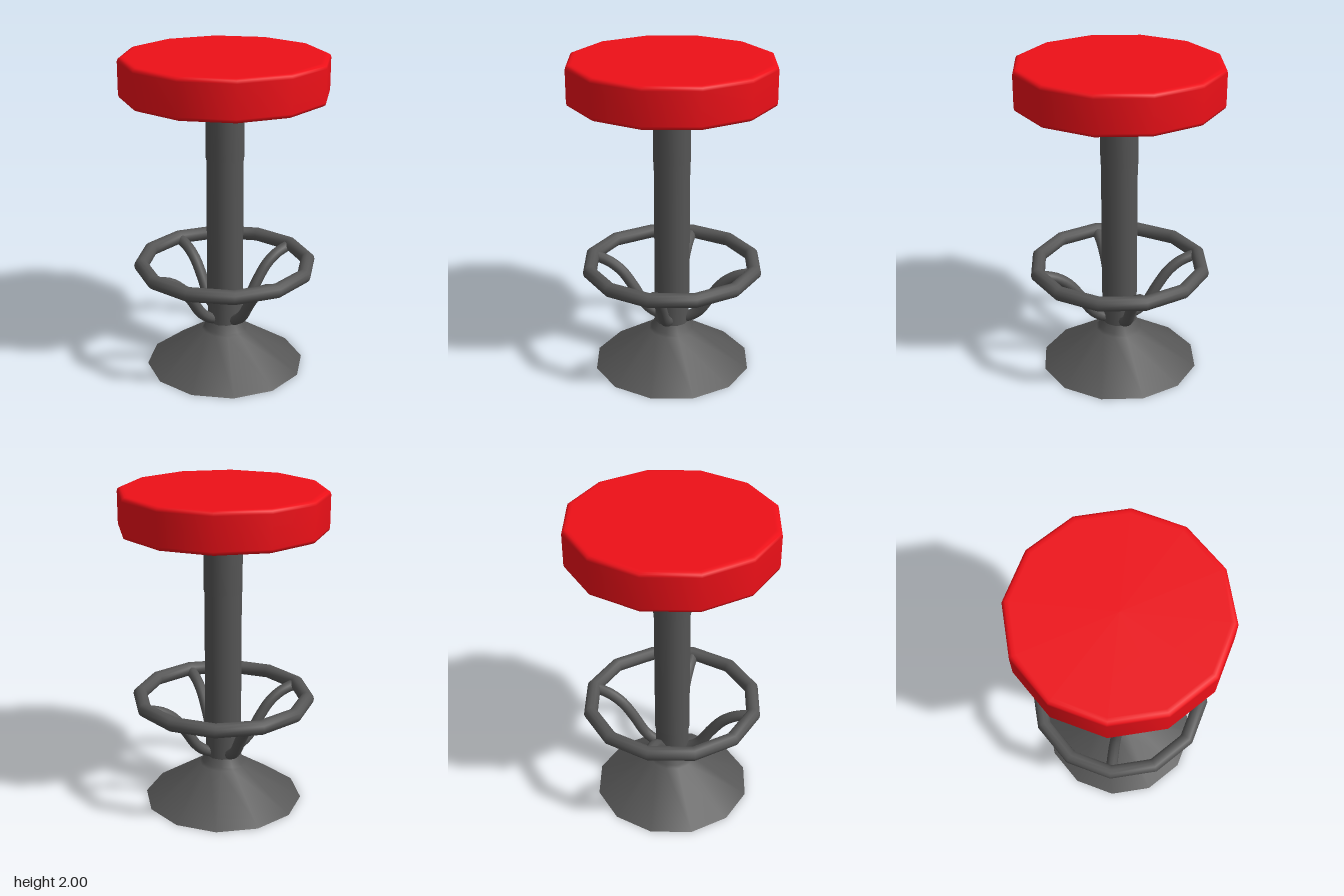
import * as THREE from 'three';

const SIDES = 12;
const metal = new THREE.MeshStandardMaterial({ color: 0x555555 });
const red = new THREE.MeshStandardMaterial({ color: 0xee1018 });

function add(parent, name, geometry, material) {
  const mesh = new THREE.Mesh(geometry, material);
  mesh.name = name;
  parent.add(mesh);
  return mesh;
}

// Twelve-sided turned part from [radius, height] pairs, bottom to top
function turned(profile) {
  return new THREE.LatheGeometry(profile.map(([r, y]) => new THREE.Vector2(r, y)), SIDES);
}

export function createModel() {
  const stool = new THREE.Group();
  stool.name = 'barStool';

  // Padded seat with a small rounded rim
  add(stool, 'seat', turned([
    [0, 1.755], [0.59, 1.755], [0.61, 1.756], [0.625, 1.764], [0.63, 1.78],
    [0.63, 1.975], [0.625, 1.991], [0.61, 1.999], [0.59, 2], [0, 2],
  ]), red);

  // Conical foot, closed underneath
  add(stool, 'base', turned([
    [0.5, 0], [0.49, 0.007], [0.15, 0.235], [0.135, 0.25], [0.11, 0.295],
  ]), metal);
  const underside = add(stool, 'baseUnderside', new THREE.CircleGeometry(0.5, SIDES), metal);
  underside.rotation.x = Math.PI / 2;

  // Column, slightly wider toward the top
  add(stool, 'column', turned([
    [0.11, 0.29], [0.11, 0.48], [0.114, 0.5], [0.114, 1.36], [0.118, 1.38], [0.118, 1.645],
  ]), metal);

  // Flared plate under the seat
  add(stool, 'seatSupport', turned([
    [0.118, 1.64], [0.14, 1.67], [0.17, 1.676], [0.32, 1.7], [0.335, 1.707], [0.405, 1.757],
  ]), metal);

  // Foot ring
  const ring = add(stool, 'footRing', new THREE.TorusGeometry(0.525, 0.044, 12, SIDES), metal);
  ring.rotation.x = Math.PI / 2;
  ring.position.y = 0.686;

  // Four S-shaped struts from the column to the ring
  const path = new THREE.CatmullRomCurve3([
    [0.06, 0.315], [0.11, 0.33], [0.18, 0.38], [0.26, 0.5], [0.33, 0.59], [0.41, 0.647], [0.51, 0.68],
  ].map(([x, y]) => new THREE.Vector3(x, y, 0)));
  const strutGeometry = new THREE.TubeGeometry(path, 18, 0.035, 10);
  for (let i = 0; i < 4; i++) {
    add(stool, 'ringStrut', strutGeometry, metal).rotation.y = i * Math.PI / 2;
  }

  return stool;
}
